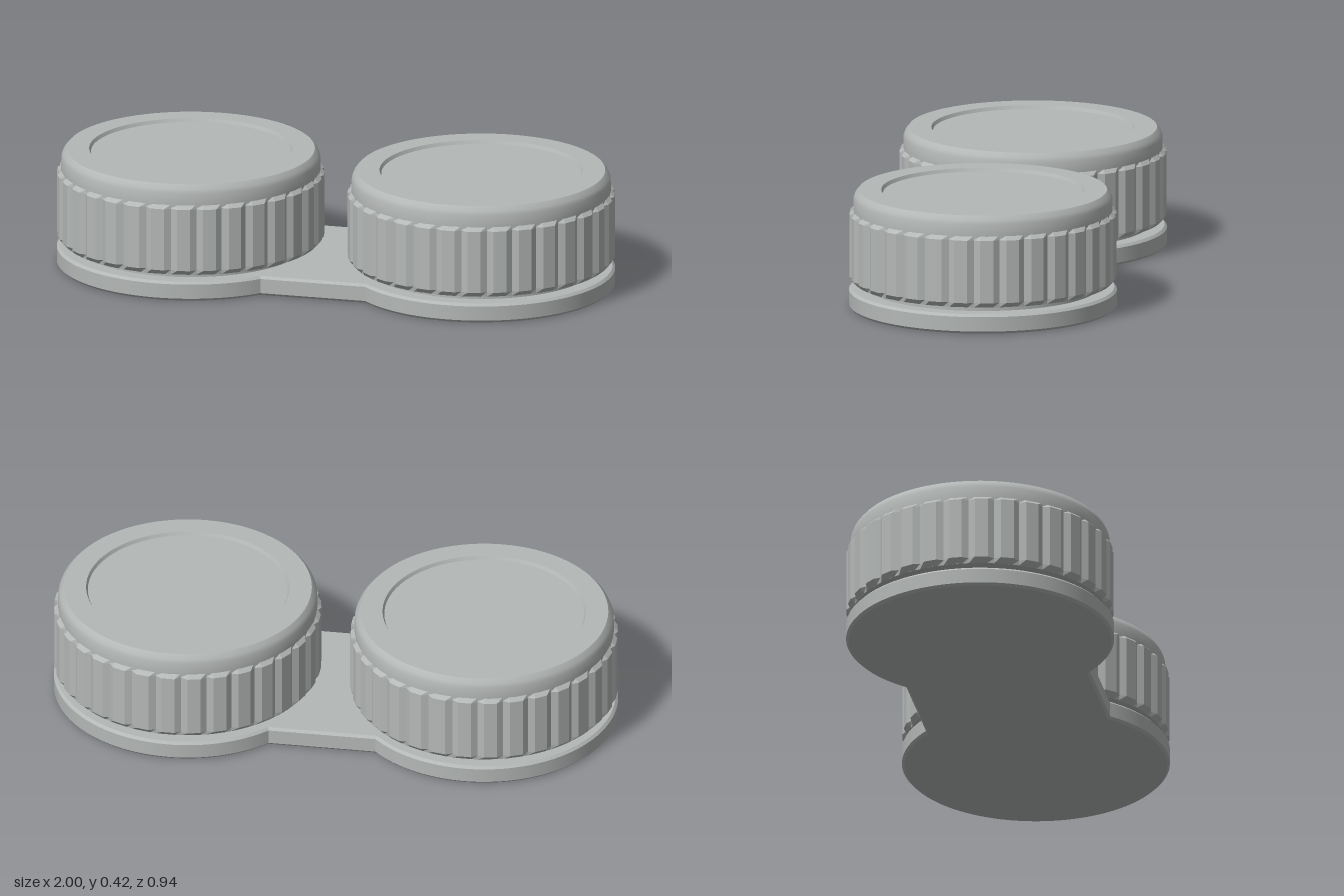
import * as THREE from 'three';
import { toCreasedNormals } from 'three/addons/utils/BufferGeometryUtils.js';

const CX = 0.528;   // centre of each well
const R = 0.472;    // outer radius of the base discs
const RIBS = 32;

// Figure-eight base plate: two discs joined by a straight bridge, all edges chamfered
function baseGeometry() {
  const a = Math.asin(0.33 / R);
  const shape = new THREE.Shape();
  shape.absarc(CX, 0, R, -Math.PI + a, Math.PI - a, false);
  shape.absarc(-CX, 0, R, a, Math.PI * 2 - a, false);
  shape.closePath();
  const bevel = 0.009;
  const geo = new THREE.ExtrudeGeometry(shape, {
    depth: 0.07 - 2 * bevel, curveSegments: 72,
    bevelEnabled: true, bevelSegments: 1,
    bevelSize: bevel, bevelThickness: bevel, bevelOffset: -bevel,
  });
  geo.rotateX(-Math.PI / 2);
  geo.translate(0, bevel, 0);
  return toCreasedNormals(geo, 0.4);
}

function lathe(points) {
  const profile = points.map(([x, y]) => new THREE.Vector2(x, y));
  return toCreasedNormals(new THREE.LatheGeometry(profile, 96), 0.4);
}

// Grip ring: flat ribs with V grooves between, chamfered at top and bottom
function gripGeometry() {
  const levels = [[0.092, 0.455], [0.11, 1], [0.335, 1], [0.35, 0.455]]; // height, radius limit
  const pitch = Math.PI * 2 / RIBS;
  const steps = [[-0.25, 0.471], [0.25, 0.471], [0.5, 0.458]]; // angle in pitches, radius
  const n = RIBS * steps.length;
  const pos = [], index = [];
  for (const [y, limit] of levels) {
    for (let i = 0; i < RIBS; i++) {
      for (const [t, radius] of steps) {
        const ang = (i + t) * pitch, r = Math.min(radius, limit);
        pos.push(r * Math.cos(ang), y, -r * Math.sin(ang));
      }
    }
  }
  for (let l = 0; l < levels.length - 1; l++) {
    for (let i = 0; i < n; i++) {
      const a = l * n + i, b = l * n + (i + 1) % n;
      index.push(a, b, b + n, a, b + n, a + n);
    }
  }
  const geo = new THREE.BufferGeometry();
  geo.setAttribute('position', new THREE.Float32BufferAttribute(pos, 3));
  geo.setIndex(index);
  return toCreasedNormals(geo, 0.1);
}

export function createModel() {
  const model = new THREE.Group();
  model.name = 'twinCapCase';
  const plastic = new THREE.MeshStandardMaterial({ color: 0xb4b8b6 });
  plastic.name = 'grey plastic';

  const add = (parent, geo, name) => {
    const mesh = new THREE.Mesh(geo, plastic);
    mesh.name = name;
    parent.add(mesh);
  };

  add(model, baseGeometry(), 'basePlate');

  // Neck of the well, showing in the gap under the cap
  const neck = lathe([[0.41, 0.065], [0.41, 0.1]]);
  // Cap shell with rounded shoulder and recessed top
  const cap = lathe([
    [0.4, 0.092], [0.455, 0.092], [0.457, 0.35], [0.456, 0.39], [0.45, 0.405],
    [0.437, 0.42], [0.358, 0.42], [0.352, 0.408], [0, 0.408],
  ]);
  const grip = gripGeometry();

  for (const [side, name] of [[1, 'left'], [-1, 'right']]) {
    const well = new THREE.Group();
    well.name = name + 'Well';
    well.position.x = side * CX;
    add(well, neck, 'neck');
    add(well, cap, 'cap');
    add(well, grip, 'gripRibs');
    model.add(well);
  }
  return model;
}
